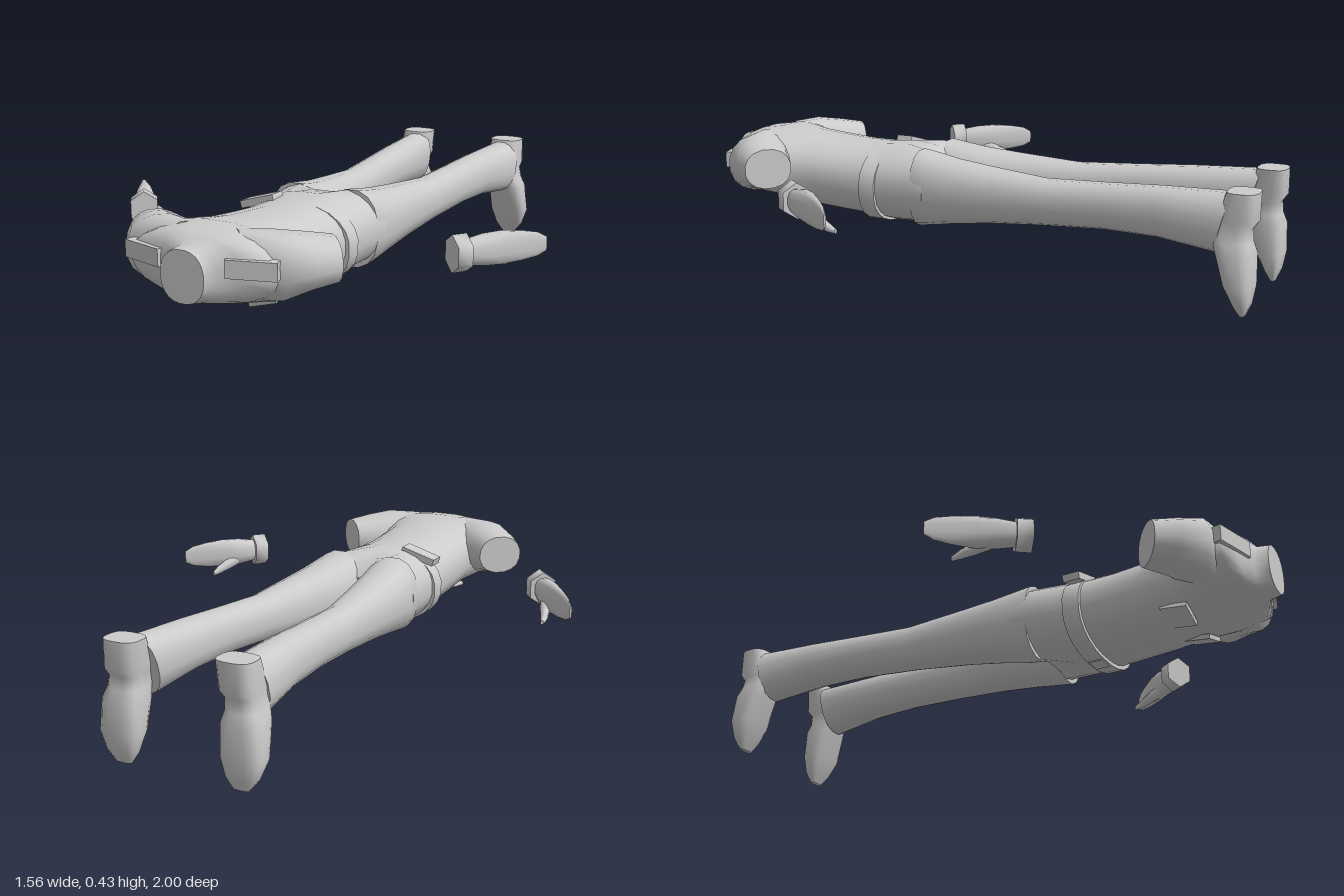
import * as THREE from 'three';

const material = new THREE.MeshStandardMaterial({ color: 0xcccccc });

// Superellipse in local (a, b), a and b running -1..1
function outline(n, e) {
  return Array.from({ length: n }, (_, i) => {
    const t = (i / n) * Math.PI * 2 + Math.PI / n, c = Math.cos(t), s = Math.sin(t);
    return [Math.sign(c) * Math.abs(c) ** (2 / e), Math.sign(s) * Math.abs(s) ** (2 / e)];
  });
}

// Closed skin through rings of points, with flat separate end caps
function loft(rings) {
  const n = rings[0].length, pos = [], idx = [];
  rings.forEach(r => r.forEach(p => pos.push(...p)));
  for (let k = 0; k < rings.length - 1; k++)
    for (let i = 0; i < n; i++) {
      const a = k * n + i, b = k * n + (i + 1) % n;
      idx.push(a, b, a + n, b, b + n, a + n);
    }
  [rings[0], rings[rings.length - 1]].forEach((r, end) => {
    const base = pos.length / 3;
    r.forEach(p => pos.push(...p));
    pos.push(...[0, 1, 2].map(j => r.reduce((s, p) => s + p[j], 0) / n));
    for (let i = 0; i < n; i++) {
      const a = base + i, b = base + (i + 1) % n;
      idx.push(...(end ? [a, b, base + n] : [b, a, base + n]));
    }
  });
  return finish(pos, idx);
}

// Turns the faces outward, whichever way the rings run
function finish(pos, idx) {
  const P = i => new THREE.Vector3().fromArray(pos, i * 3);
  let volume = 0;
  for (let i = 0; i < idx.length; i += 3)
    volume += P(idx[i]).dot(P(idx[i + 1]).cross(P(idx[i + 2])));
  if (volume < 0)
    for (let i = 0; i < idx.length; i += 3) [idx[i], idx[i + 1]] = [idx[i + 1], idx[i]];
  const g = new THREE.BufferGeometry();
  g.setAttribute('position', new THREE.Float32BufferAttribute(pos, 3));
  g.setIndex(idx);
  g.computeVertexNormals();
  return g;
}

// Upright ring: centre x, z, half width along (ux, uz), bottom and top
function ring([x, z, w, y0, y1], { n = 16, e = 2.3, u = [1, 0], side = 1, slant = 0, dip = 0 } = {}) {
  return outline(n, e).map(([a, b]) => {
    const squash = 1 - dip * Math.exp(-((a * w / 0.05) ** 2));
    return [side * (x + a * w * u[0]), (y0 + y1) / 2 + b * squash * (y1 - y0) / 2, z + a * w * u[1] + b * slant];
  });
}

export function createModel() {
  const model = new THREE.Group();
  const add = (name, geometry) => {
    const mesh = new THREE.Mesh(geometry, material);
    mesh.name = name;
    model.add(mesh);
    return mesh;
  };
  const box = (name, size, position, rotation = [0, 0, 0]) => {
    const mesh = add(name, new THREE.BoxGeometry(...size));
    mesh.position.set(...position);
    mesh.rotation.set(...rotation);
  };

  // Jacket and hips, lying face down from neck to crotch
  add('torso', loft([
    [1, 0.075, 0.23, 0.39], [0.955, 0.085, 0.22, 0.395], [0.935, 0.16, 0.217, 0.412],
    [0.905, 0.25, 0.215, 0.422], [0.82, 0.255, 0.19, 0.434], [0.71, 0.195, 0.167, 0.42],
    [0.6, 0.19, 0.152, 0.41], [0.5, 0.19, 0.145, 0.402], [0.4, 0.195, 0.14, 0.4],
    [0.3, 0.202, 0.133, 0.408], [0.2, 0.21, 0.136, 0.415, 0.25], [0.15, 0.213, 0.145, 0.402, 0.95],
  ].map(([z, w, y0, y1, dip = 0]) => ring([0, z, w, y0, y1], { n: 24, dip }))));

  // Belt with a buckle underneath and a pouch on the back
  add('belt', loft([0.4, 0.34].map(z => ring([0, z, 0.209, 0.127, 0.399], { n: 24 }))));
  box('buckle', [0.06, 0.02, 0.05], [0, 0.134, 0.37]);
  box('beltPouch', [0.13, 0.025, 0.06], [-0.135, 0.382, 0.37], [0, 0, 0.28]);

  for (const side of [1, -1]) {
    const label = part => (side > 0 ? 'left' : 'right') + part;

    // Short sleeve stump, angled out from the shoulder
    add(label('Sleeve'), loft([
      [0.09, 0.85, 0.07, 0.21, 0.428], [0.2, 0.815, 0.112, 0.222, 0.428],
      [0.265, 0.755, 0.096, 0.248, 0.416], [0.32, 0.695, 0.082, 0.262, 0.402],
    ].map(r => ring(r, { side, u: [0.74, 0.67], e: 2.2 }))));

    // Shoulder strap and chest pocket
    box(label('ShoulderStrap'), [0.155, 0.055, 0.035], [side * 0.185, 0.338, 0.92], [0, side * 0.27, 0]);
    box(label('ChestPocket'), [0.1, 0.016, 0.09], [side * 0.1, 0.18, 0.7], [0.12, 0, side * 0.28]);

    // Trouser leg with a slanting hem
    add(label('Leg'), loft([
      [0.107, 0.2, 0.1, 0.14, 0.408], [0.108, 0.14, 0.105, 0.148, 0.398],
      [0.117, 0.06, 0.098, 0.163, 0.385], [0.13, -0.08, 0.084, 0.182, 0.372],
      [0.147, -0.28, 0.066, 0.2, 0.356], [0.162, -0.5, 0.066, 0.214, 0.366],
      [0.174, -0.68, 0.068, 0.212, 0.376], [0.19, -0.895, 0.071, 0.19, 0.384, -0.025],
    ].map(([x, z, w, y0, y1, slant = 0]) => ring([x, z, w, y0, y1], { side, slant }))));

    // Boot: heel up, toe pointing down, sole facing back
    const boot = [
      [0.39, 0.195, 0.06, -0.9, -1], [0.3, 0.2, 0.06, -0.87, -1], [0.275, 0.202, 0.053, -0.86, -0.982],
      [0.235, 0.206, 0.057, -0.862, -0.985], [0.2, 0.208, 0.068, -0.875, -0.998],
      [0.1, 0.213, 0.072, -0.908, -1], [0.04, 0.21, 0.053, -0.937, -0.99], [0.003, 0.207, 0.027, -0.958, -0.975],
    ].map(([y, x, w, front, back]) => outline(16, 3).map(([a, b]) =>
      [side * (x + a * w), y, Math.max(back, (front + back) / 2 + b * (front - back) * 0.5)]));
    add(label('Boot'), loft(boot));

    // Detached hand: hexagonal cuff, thin upright palm and fingers
    const across = [0.77, 0.64];
    add(label('Cuff'), loft([[0.572, 0.428], [0.602, 0.388]].map(([x, z]) =>
      ring([x, z, 0.052, 0.25, 0.37], { side, n: 6, e: 2, u: across }))));
    add(label('Hand'), loft([
      [0.595, 0.4, 0.03, 0.272, 0.348], [0.635, 0.342, 0.036, 0.262, 0.36],
      [0.675, 0.29, 0.026, 0.258, 0.364], [0.72, 0.236, 0.015, 0.262, 0.358],
      [0.755, 0.196, 0.009, 0.27, 0.348], [0.776, 0.173, 0.004, 0.285, 0.33],
    ].map(r => ring(r, { side, n: 12, u: across, e: 2.4 }))));
    add(label('Thumb'), loft([
      [0.637, 0.335, 0.022, 0.264, 0.315], [0.65, 0.28, 0.018, 0.25, 0.292],
      [0.664, 0.235, 0.013, 0.24, 0.27], [0.668, 0.205, 0.006, 0.238, 0.254],
    ].map(r => ring(r, { side, n: 8, u: [0.95, 0.3], e: 2 }))));
  }
  return model;
}
